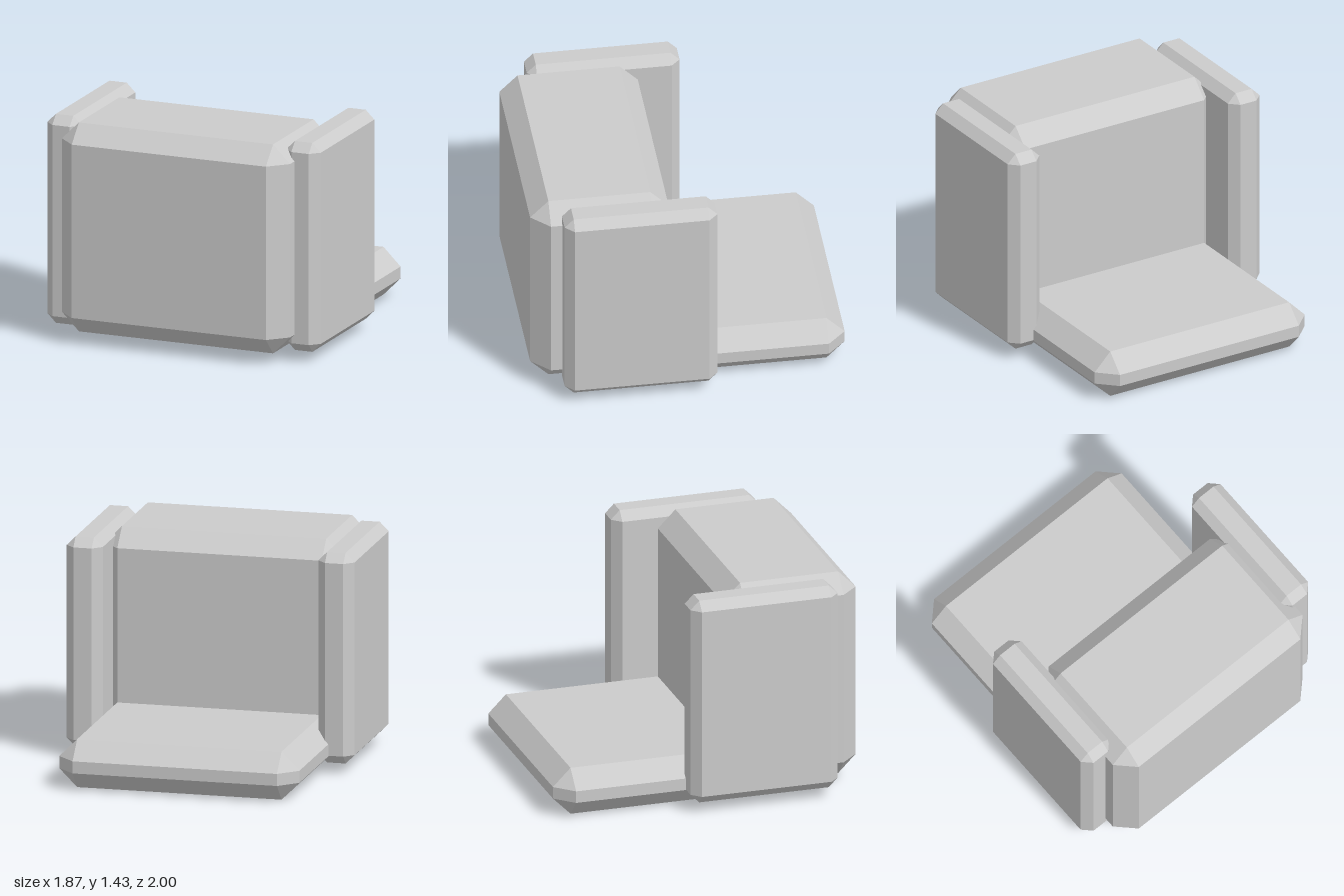
import * as THREE from 'three';
import { ConvexGeometry } from 'three/addons/geometries/ConvexGeometry.js';

// Box between two corners with every edge chamfered by c
function chamferedBox(min, max, c) {
  const half = max.map((v, i) => (v - min[i]) / 2);
  const mid = max.map((v, i) => (v + min[i]) / 2);
  const points = [];
  for (const sx of [-1, 1]) for (const sy of [-1, 1]) for (const sz of [-1, 1]) {
    const signs = [sx, sy, sz];
    // one point on each of the three faces that meet at this corner
    for (let face = 0; face < 3; face++) {
      points.push(new THREE.Vector3(...signs.map((s, i) => s * (half[i] - (i === face ? 0 : c)))));
    }
  }
  const geometry = new ConvexGeometry(points);
  geometry.translate(...mid);
  return geometry;
}

export function createModel() {
  const model = new THREE.Group();
  model.name = 'armchair';
  const grey = new THREE.MeshStandardMaterial({ color: 0xcccccc });
  grey.name = 'light grey';

  const add = (name, min, max, c) => {
    const mesh = new THREE.Mesh(chamferedBox(min, max, c), grey);
    mesh.name = name;
    model.add(mesh);
  };

  // Large upright block and the low slab reaching out behind it
  add('mainBlock', [-0.78, 0.062, 0.12], [0.78, 1.425, 1], 0.116);
  add('lowSlab', [-0.78, 0, -1], [0.78, 0.31, 0.365], 0.116);

  // Side panels
  add('leftPanel', [0.7, 0.062, -0.16], [0.935, 1.425, 0.812], 0.058);
  add('rightPanel', [-0.935, 0.062, -0.16], [-0.7, 1.425, 0.812], 0.058);

  return model;
}
